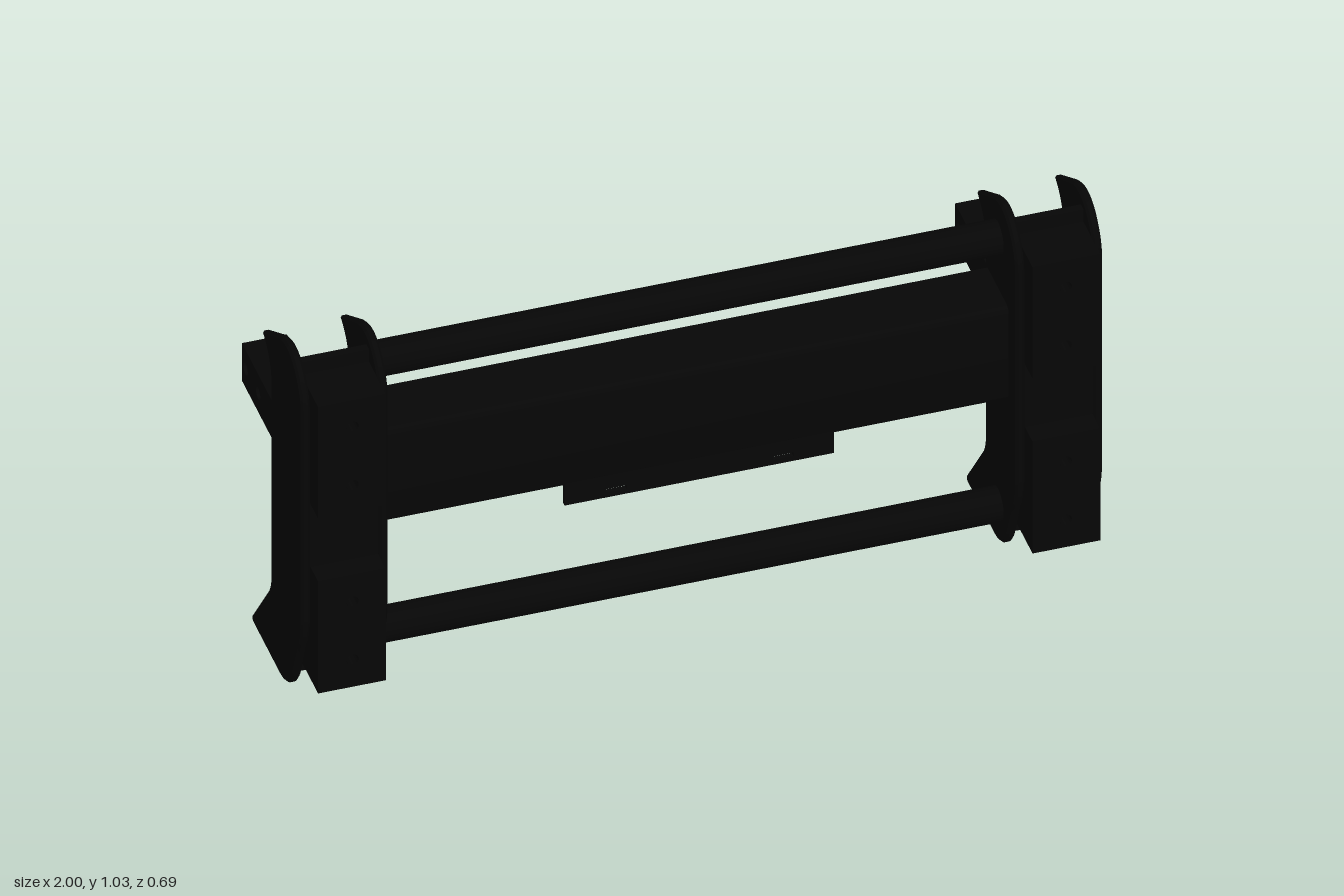
import * as THREE from 'three';
import { toCreasedNormals } from 'three/addons/utils/BufferGeometryUtils.js';

const material = new THREE.MeshStandardMaterial({ color: 0x060606 });

function add(parent, name, geometry) {
  const mesh = new THREE.Mesh(geometry, material);
  mesh.name = name;
  parent.add(mesh);
  return mesh;
}

function rect(x0, y0, x1, y1) {
  return new THREE.Shape([[x0, y0], [x1, y0], [x1, y1], [x0, y1]].map(p => new THREE.Vector2(...p)));
}

function hole(shape, x, y, r) {
  shape.holes.push(new THREE.Path().absarc(x, y, r, 0, Math.PI * 2, true));
}

// Extrusion of total thickness depth, with an optional inward edge chamfer
function extrude(shape, depth, chamfer = 0) {
  const geometry = new THREE.ExtrudeGeometry(shape, {
    depth: depth - 2 * chamfer, curveSegments: 14,
    bevelEnabled: chamfer > 0, bevelThickness: chamfer, bevelSize: chamfer,
    bevelOffset: -chamfer, bevelSegments: 1,
  });
  return toCreasedNormals(geometry.translate(0, 0, chamfer), 0.5);
}

// Shape drawn in (z, y), extruded across x0..x1
const acrossX = (shape, x0, x1, chamfer) =>
  extrude(shape, x1 - x0, chamfer).rotateY(-Math.PI / 2).translate(x1, 0, 0);

// Shape drawn in (x, y), extruded along z0..z1
const alongZ = (shape, z0, z1) => extrude(shape, z1 - z0).translate(0, 0, z0);

function box(x0, x1, y0, y1, z0, z1) {
  return new THREE.BoxGeometry(x1 - x0, y1 - y0, z1 - z0)
    .translate((x0 + x1) / 2, (y0 + y1) / 2, (z0 + z1) / 2);
}

// Hooked side plate profile in (z, y)
function hookShape() {
  const s = new THREE.Shape();
  s.moveTo(0.12, 0);
  s.bezierCurveTo(0.17, 0, 0.205, 0.03, 0.222, 0.08);
  s.lineTo(0.27, 0.195);
  s.quadraticCurveTo(0.29, 0.24, 0.29, 0.29);
  s.lineTo(0.29, 0.9);
  s.quadraticCurveTo(0.29, 0.94, 0.273, 0.967);
  s.bezierCurveTo(0.233, 1.033, 0.17, 1.045, 0.108, 1.01);
  s.lineTo(-0.02, 0.93);
  s.bezierCurveTo(0.03, 0.91, 0.05, 0.865, 0.05, 0.83);
  s.lineTo(0.05, 0.25);
  s.quadraticCurveTo(0.05, 0.215, 0.027, 0.185);
  s.lineTo(-0.097, 0.022);
  s.quadraticCurveTo(-0.104, 0.003, -0.085, 0);
  s.closePath();
  return s;
}

const boltHeights = [0.185, 0.36, 0.71, 0.886];
const boltX = 0.89;

// Plate or pad pierced by the bolt holes that fall inside it
function pierced(x0, x1, y0, y1, z0, z1) {
  const s = rect(x0, y0, x1, y1);
  for (const y of boltHeights) if (y > y0 && y < y1) hole(s, boltX, y, 0.015);
  return alongZ(s, z0, z1);
}

// Square tube arm, open at the back, with two pin holes through its sides
function createArm() {
  const arm = new THREE.Group();
  arm.name = 'rearArm';
  const [x0, x1, y0, y1, z0, z1, t] = [0.834, 0.946, 0.527, 0.64, -0.345, 0.19, 0.012];
  const side = rect(z0, y0, z1, y1);
  for (const z of [-0.218, -0.316]) hole(side, z, 0.583, 0.017);
  add(arm, 'armSide', acrossX(side, x0, x0 + t));
  add(arm, 'armSide', acrossX(side, x1 - t, x1));
  add(arm, 'armBottom', box(x0 + t, x1 - t, y0, y0 + t, z0, z1));
  add(arm, 'armTop', box(x0 + t, x1 - t, y1 - t, y1, z0, z1));
  return arm;
}

// End upright: two hooked plates, face plate, front pads, gussets and arm
function createUpright(name) {
  const g = new THREE.Group();
  g.name = name;
  for (const [x0, x1] of [[0.783, 0.806], [0.977, 1]]) {
    add(g, 'hookPlate', acrossX(hookShape(), x0, x1, 0.006));
  }
  add(g, 'facePlate', pierced(0.806, 0.977, 0.073, 1, 0.19, 0.212));
  add(g, 'faceFiller', box(0.806, 0.977, 0.44, 0.63, 0.212, 0.285));
  add(g, 'lowerPad', pierced(0.807, 0.976, 0.103, 0.44, 0.212, 0.345));
  add(g, 'upperPad', pierced(0.807, 0.976, 0.63, 0.965, 0.212, 0.345));
  for (const y of [0.507, 0.64]) add(g, 'armGusset', box(0.806, 0.977, y, y + 0.02, 0.052, 0.19));
  g.add(createArm());
  return g;
}

// C-shaped beam section in (z, y), open to the back
function channelShape() {
  const s = new THREE.Shape();
  const [z0, z1, y0, y1, t, r] = [0.068, 0.234, 0.486, 0.765, 0.018, 0.02];
  s.moveTo(z0, y0);
  s.lineTo(z1 - r, y0);
  s.quadraticCurveTo(z1, y0, z1, y0 + r);
  s.lineTo(z1, y1 - r);
  s.quadraticCurveTo(z1, y1, z1 - r, y1);
  s.lineTo(z0, y1);
  s.lineTo(z0, y1 - t);
  s.lineTo(z1 - t, y1 - t);
  s.lineTo(z1 - t, y0 + t);
  s.lineTo(z0, y0 + t);
  s.closePath();
  return s;
}

export function createModel() {
  const model = new THREE.Group();
  model.name = 'attachmentFrame';

  model.add(createUpright('leftUpright'));
  const right = createUpright('rightUpright');
  right.scale.x = -1;
  model.add(right);

  // Cross members
  add(model, 'mainBeam', acrossX(channelShape(), -0.79, 0.79));
  for (const [name, y] of [['upperBar', 0.918], ['lowerBar', 0.115]]) {
    add(model, name, new THREE.CylinderGeometry(0.045, 0.045, 1.58, 32)
      .rotateZ(Math.PI / 2).translate(0, y, 0.15));
  }

  // Slotted strip under the beam
  const strip = rect(-0.325, 0.432, 0.347, 0.51);
  for (const x of [-0.197, 0.22]) {
    strip.holes.push(rect(x - 0.026, 0.446, x + 0.026, 0.457));
  }
  add(model, 'slottedStrip', alongZ(strip, 0.22, 0.233));

  return model;
}
